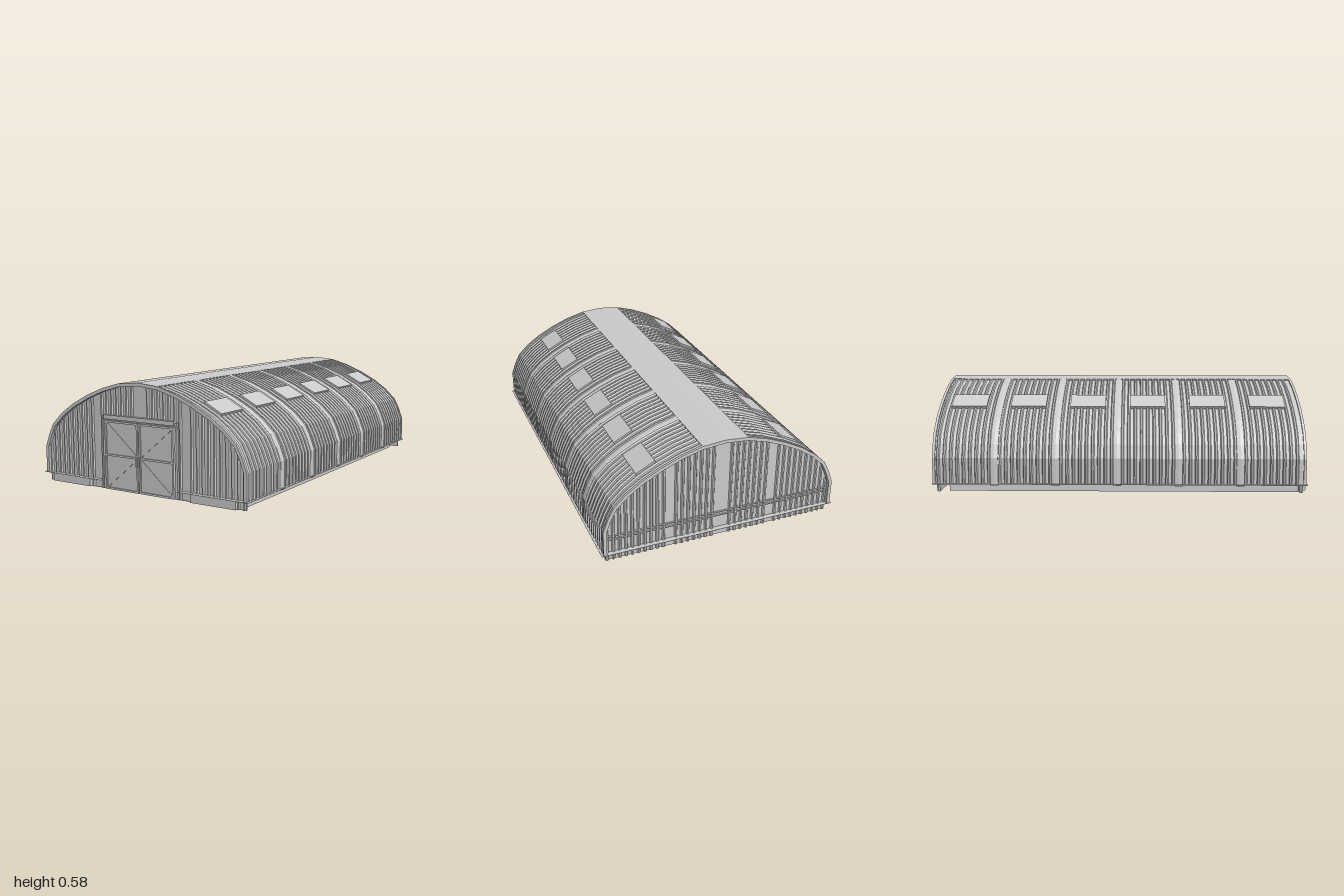
import * as THREE from 'three';

const grey = new THREE.MeshStandardMaterial({ color: 0xcccccc, flatShading: true, side: THREE.DoubleSide });

// Right half of the arch, from the eave up to the ridge
const half = [[0.645, 0.05], [0.645, 0.19], [0.618, 0.262], [0.588, 0.32], [0.52, 0.385],
  [0.44, 0.44], [0.34, 0.492], [0.235, 0.535], [0.125, 0.566], [0, 0.577]];
const arch = [...half, ...half.slice(0, -1).reverse().map(([x, y]) => [-x, y])]
  .map(([x, y]) => new THREE.Vector2(x, y));

// Outward normal of the arch at each point
const normals = arch.map((p, i) => {
  const a = arch[Math.max(i - 1, 0)], b = arch[Math.min(i + 1, arch.length - 1)];
  return new THREE.Vector2(b.y - a.y, a.x - b.x).normalize();
});
const offset = (d) => arch.map((p, i) => p.clone().addScaledVector(normals[i], d));

function add(parent, name, geometry, x = 0, y = 0, z = 0) {
  const mesh = new THREE.Mesh(geometry, grey);
  mesh.name = name;
  mesh.position.set(x, y, z);
  parent.add(mesh);
  return mesh;
}
const box = (parent, name, w, h, d, x, y, z) =>
  add(parent, name, new THREE.BoxGeometry(w, h, d), x, y, z);

// Curved shell between two offsets of the arch, over points i0..i1
function band(inner, outer, length, i0 = 0, i1 = arch.length) {
  const shape = new THREE.Shape([...offset(outer).slice(i0, i1), ...offset(inner).slice(i0, i1).reverse()]);
  return new THREE.ExtrudeGeometry(shape, { depth: length, bevelEnabled: false });
}

// Sweeps an open section [across, out] along a path of { p, n }
function strip(path, across, section) {
  const pos = [], idx = [], m = section.length;
  path.forEach(({ p, n }, i) => section.forEach(([u, v], j) => {
    pos.push(...p.clone().addScaledVector(across, u).addScaledVector(n, v).toArray());
    if (i && j) {
      const d = i * m + j, c = d - 1, b = d - m, a = b - 1;
      idx.push(a, b, d, a, d, c);
    }
  }));
  const g = new THREE.BufferGeometry();
  g.setAttribute('position', new THREE.Float32BufferAttribute(pos, 3));
  g.setIndex(idx);
  g.computeVertexNormals();
  return g;
}

const DEPTH = 0.008;
const ribSection = [[-0.009, 0], [-0.004, DEPTH], [0.004, DEPTH], [0.009, 0]];
const seamSection = [[-0.026, 0], [-0.017, 0.006], [0, 0.008], [0.017, 0.006], [0.026, 0]];
const zAxis = new THREE.Vector3(0, 0, 1);
const BAYS = 6, PITCH = 0.328, bayZ = (i) => -0.832 + i * PITCH;

function makeRoof() {
  const roof = new THREE.Group();
  roof.name = 'roof';
  add(roof, 'roofShell', band(-0.018, -DEPTH, 1.985), 0, 0, -0.995);
  add(roof, 'ridgeCap', band(-0.01, 0, 1.985, 8, 11), 0, 0, -0.995);
  for (const z of [-0.998, 0.978]) add(roof, 'archRim', band(-0.018, 0, 0.014), 0, 0, z);

  const base = offset(-DEPTH);
  for (const s of [1, -1]) {
    const path = half.slice(0, 9).map((_, i) => ({
      p: new THREE.Vector3(s * base[i].x, base[i].y, 0),
      n: new THREE.Vector3(s * normals[i].x, normals[i].y, 0),
    }));
    const across = zAxis.clone().multiplyScalar(s);
    const rib = strip(path, across, ribSection);
    const seam = strip(path, across, seamSection);
    for (let b = 0; b < BAYS; b++) {
      for (let k = -4; k <= 4; k++) add(roof, 'roofRib', rib, 0, 0, bayZ(b) + k * 0.034);
      if (b) {
        add(roof, 'seamBand', seam, 0, 0, bayZ(b) - PITCH / 2);
        box(roof, 'seamFoot', 0.006, 0.012, 0.044, s * 0.641, 0.047, bayZ(b) - PITCH / 2);
      }
      const light = box(roof, 'skylight', 0.114, 0.016, 0.195, s * 0.395, 0.464, bayZ(b));
      light.rotation.z = -s * Math.atan2(0.052, 0.1);
    }
  }
  return roof;
}

// Height of the roof underside at a given x
function heightAt(x) {
  const pts = offset(-0.018);
  const ax = Math.abs(x);
  for (let i = 1; i < half.length; i++) {
    const a = pts[i - 1], b = pts[i];
    if (ax <= a.x && ax >= b.x && a.x > b.x) return a.y + (b.y - a.y) * (a.x - ax) / (a.x - b.x);
  }
  return 0.19;
}

// Corrugated end wall facing +z
function makeEndWall(name) {
  const wall = new THREE.Group();
  wall.name = name;
  const outline = offset(-0.015);
  const shape = new THREE.Shape([new THREE.Vector2(0.63, 0.005), ...outline, new THREE.Vector2(-0.63, 0.005)]);
  add(wall, 'wallSheet', new THREE.ExtrudeGeometry(shape, { depth: 0.01, bevelEnabled: false }), 0, 0, 0.962);
  for (const s of [1, -1]) {
    for (let k = 0; k < 18; k++) {
      if (k === 7) continue; // plain overlap between sheets
      const x = s * (0.05 + k * 0.0335);
      const path = [0.005, heightAt(x)].map((y) => ({ p: new THREE.Vector3(x, y, 0.972), n: zAxis }));
      add(wall, 'wallRib', strip(path, new THREE.Vector3(-1, 0, 0), ribSection));
    }
  }
  return wall;
}

function makeDoors() {
  const doors = new THREE.Group();
  doors.name = 'doors';
  const Z = 0.982, W = 0.218, Y0 = 0.008, Y1 = 0.37, MID = 0.19, T = 0.01;
  for (const s of [1, -1]) {
    const cx = s * (W / 2 + 0.003);
    box(doors, 'doorPanel', W, Y1 - Y0, 0.008, cx, (Y0 + Y1) / 2, Z);
    for (const y of [Y0 + T / 2, MID, Y1 - T / 2]) box(doors, 'doorRail', W, T, 0.008, cx, y, Z + 0.006);
    for (const e of [1, -1])
      box(doors, 'doorStile', T, Y1 - Y0, 0.008, cx + e * (W - T) / 2, (Y0 + Y1) / 2, Z + 0.006);
    // Braces meeting towards the middle rail
    for (const v of [1, -1]) {
      const h = 0.165, w = W - 2 * T;
      const brace = box(doors, 'doorBrace', Math.hypot(w, h), 0.006, 0.003, cx, MID + v * 0.089, Z + 0.005);
      brace.rotation.z = s * v * Math.atan2(h, w);
    }
    box(doors, 'doorHandle', 0.008, 0.05, 0.008, s * 0.012, 0.17, Z + 0.012);
    box(doors, 'doorPost', 0.012, 0.385, 0.012, s * 0.232, 0.2, Z - 0.004);
  }
  box(doors, 'doorTrack', 0.45, 0.022, 0.02, 0, 0.388, Z);
  return doors;
}

export function createModel() {
  const model = new THREE.Group();
  model.name = 'archedHut';
  model.add(makeRoof());

  model.add(makeEndWall('frontWall'));
  const back = makeEndWall('backWall');
  back.rotation.y = Math.PI;
  for (const y of [0.125, 0.145]) box(back, 'wallGirt', 1.25, 0.005, 0.012, 0, y, 0.975);
  model.add(back);
  model.add(makeDoors());

  // Foundation, front curbs and the thin sill around the foot of the walls
  box(model, 'floorSlab', 1.18, 0.05, 1.88, 0, 0.025, 0.02);
  for (const s of [1, -1]) {
    box(model, 'frontCurb', 0.262, 0.042, 0.04, s * 0.455, 0.029, 0.98);
    box(model, 'sideSill', 0.09, 0.002, 2, s * 0.61, 0.05, 0);
    box(model, 'frontSill', 0.4, 0.002, 0.05, s * 0.45, 0.05, 0.975);
  }
  box(model, 'backSill', 1.31, 0.002, 0.1, 0, 0.05, -0.95);
  return model;
}
